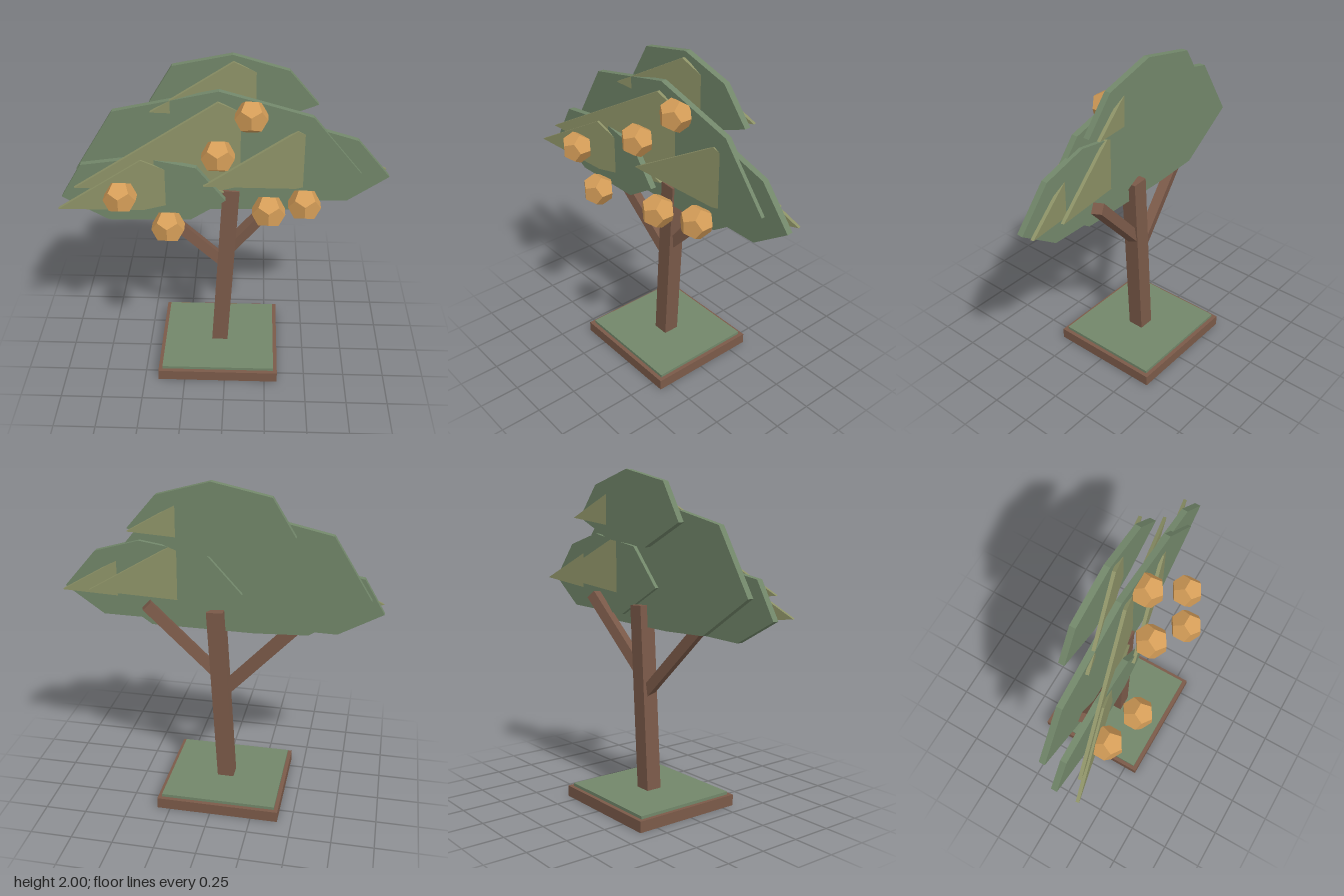
import * as THREE from 'three';

export function createModel() {
  const model = new THREE.Group();
  model.name = 'fruitTree';

  const material = (name, color) => {
    const m = new THREE.MeshStandardMaterial({ color, flatShading: true });
    m.name = name;
    return m;
  };
  const bark = material('barkBrown', 0x7b5a49);
  const green = material('leafGreen', 0x72876a);
  const olive = material('leafOlive', 0x8c9166);
  const orange = material('fruitOrange', 0xd49d58);

  const add = (name, geometry, mat, x = 0, y = 0, z = 0) => {
    const mesh = new THREE.Mesh(geometry, mat);
    mesh.name = name;
    mesh.position.set(x, y, z);
    model.add(mesh);
    return mesh;
  };

  // Square beam running between two points
  const beam = (name, from, to, width) => {
    const a = new THREE.Vector3(...from);
    const b = new THREE.Vector3(...to);
    const dir = b.clone().sub(a);
    const mid = a.clone().add(b).multiplyScalar(0.5);
    const mesh = add(name, new THREE.BoxGeometry(width, dir.length(), width), bark, mid.x, mid.y, mid.z);
    mesh.quaternion.setFromUnitVectors(new THREE.Vector3(0, 1, 0), dir.normalize());
  };

  // Flat plate with a polygon outline, centred on its own z = 0
  const plate = (points, depth) => {
    const shape = new THREE.Shape(points.map(([x, y]) => new THREE.Vector2(x, y)));
    return new THREE.ExtrudeGeometry(shape, { depth, bevelEnabled: false }).translate(0, 0, -depth / 2);
  };

  // Planter base and grass
  add('base', new THREE.BoxGeometry(0.743, 0.067, 0.7), bark, -0.043, 0.0335, -0.02);
  add('grass', new THREE.BoxGeometry(0.695, 0.02, 0.65), green, -0.043, 0.075, -0.02);

  // Leaning trunk and two branches
  beam('trunk', [-0.041, 0.07, -0.02], [0.03, 1.205, -0.02], 0.1);
  beam('leftBranch', [0.43, 1.235, -0.095], [0.02, 0.79, -0.02], 0.065);
  beam('rightBranch', [-0.51, 1.185, 0.038], [-0.02, 0.68, -0.02], 0.062);

  // Large upright foliage plates
  const foliage = [
    ['topFoliage', -0.112, [[0.52, 1.71], [0.35, 1.91], [0.035, 2.0], [-0.305, 1.93],
      [-0.44, 1.71], [-0.14, 1.56], [0.22, 1.59]]],
    ['middleFoliage', -0.003, [[0.78, 1.33], [0.49, 1.68], [-0.04, 1.83], [-0.64, 1.7],
      [-0.87, 1.33], [-0.52, 1.09], [-0.2, 1.075], [0.42, 1.08]]],
    ['rightFoliage', 0.108, [[0.0, 1.2], [-0.165, 1.41], [-0.47, 1.47], [-0.82, 1.42],
      [-0.945, 1.21], [-0.68, 1.06], [-0.2, 1.07]]],
    ['leftFoliage', -0.026, [[0.945, 1.3], [0.75, 1.53], [0.48, 1.61], [0.08, 1.55],
      [-0.13, 1.32], [0.2, 1.13], [0.71, 1.135]]],
  ];
  for (const [name, z, points] of foliage) add(name, plate(points, 0.037), green, 0, 0, z);

  // Thin kite-shaped leaf highlights, turned so they cut through the foliage
  const highlights = [
    ['topHighlight', 0.04, 1.71, -0.075, 0.475],
    ['middleHighlight', -0.043, 1.328, 0.034, 0.822],
    ['rightHighlight', -0.475, 1.21, 0.146, 0.475],
    ['leftHighlight', 0.405, 1.302, 0.015, 0.545],
  ];
  for (const [name, x, y, z, half] of highlights) {
    const kite = [[half, 0], [0, half * 0.545], [-half, 0], [0, half * -0.135]];
    add(name, plate(kite, 0.02), olive, x, y, z).rotation.y = 0.224;
  }

  // Fruits hanging in front of the leaves
  const fruitGeometry = new THREE.DodecahedronGeometry(0.099);
  [
    [-0.588, 1.277, 0.235], [-0.318, 1.115, 0.277], [-0.038, 1.525, 0.194],
    [0.142, 1.703, 0.065], [0.246, 1.228, 0.277], [0.45, 1.213, 0.174],
  ].forEach((p, i) => add('fruit' + (i + 1), fruitGeometry, orange, ...p));

  return model;
}
